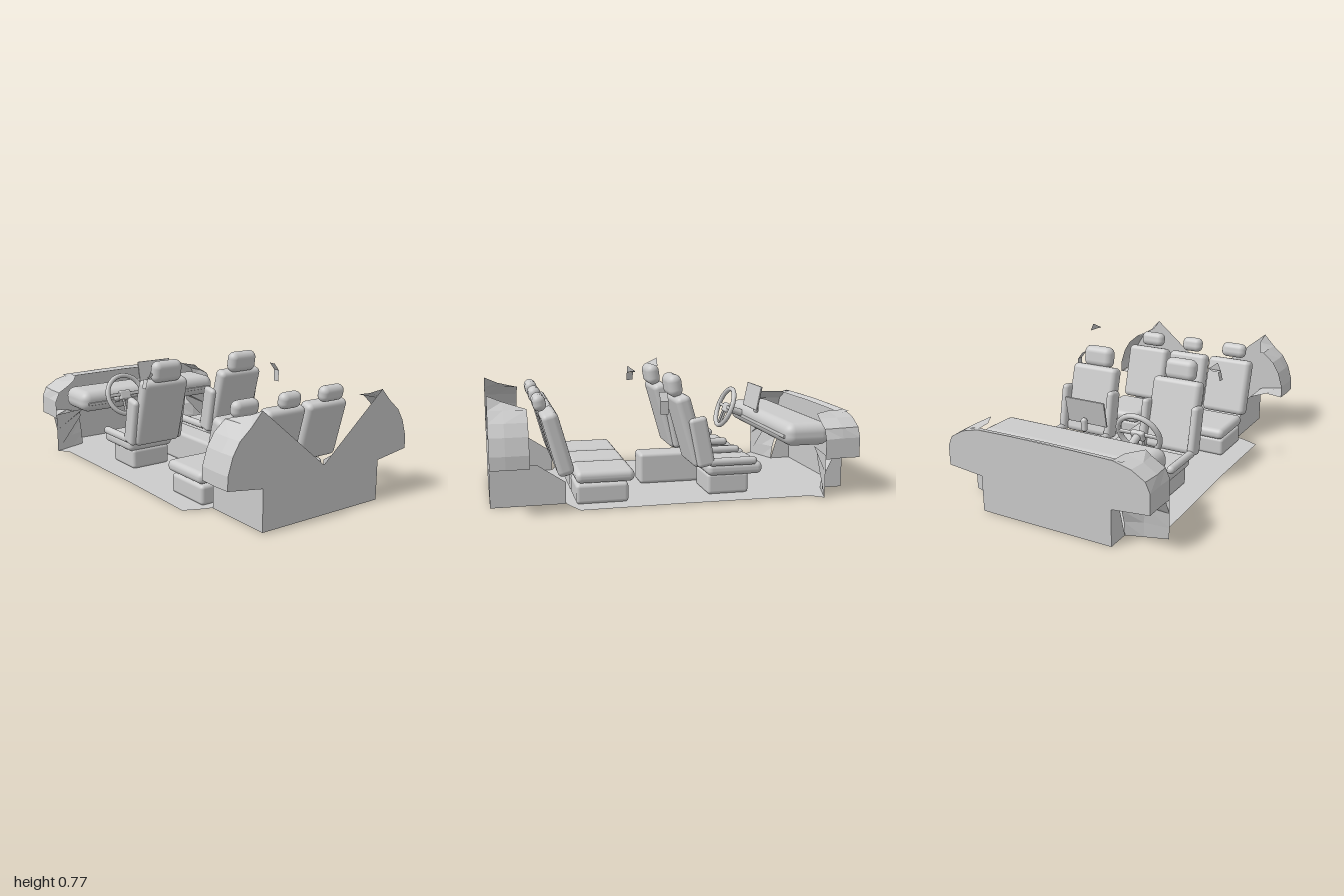
import * as THREE from 'three';
import { RoundedBoxGeometry } from 'three/addons/geometries/RoundedBoxGeometry.js';

const smooth = new THREE.MeshStandardMaterial({ color: 0xcccccc });
const flat = new THREE.MeshStandardMaterial({ color: 0xcccccc, flatShading: true, side: THREE.DoubleSide });

function add(parent, name, geometry, x = 0, y = 0, z = 0, tilt = 0, material = smooth) {
  const mesh = new THREE.Mesh(geometry, material);
  mesh.name = name;
  mesh.position.set(x, y, z);
  mesh.rotation.x = tilt;
  parent.add(mesh);
  return mesh;
}

// Padded block given by its centre and size
function pad(parent, name, [x, y, z], [w, h, d], r = 0.02, tilt = 0) {
  const radius = Math.min(r, w / 2.01, h / 2.01, d / 2.01);
  return add(parent, name, new RoundedBoxGeometry(w, h, d, 4, radius), x, y, z, tilt);
}

// Faceted sheet lofted through equally long rows of points
function sheet(parent, name, rows) {
  const pos = [];
  for (let i = 0; i < rows.length - 1; i++) {
    for (let j = 0; j < rows[i].length - 1; j++) {
      const a = rows[i][j], b = rows[i][j + 1], c = rows[i + 1][j + 1], d = rows[i + 1][j];
      pos.push(...a, ...b, ...c, ...a, ...c, ...d);
    }
  }
  const g = new THREE.BufferGeometry();
  g.setAttribute('position', new THREE.Float32BufferAttribute(pos, 3));
  g.computeVertexNormals();
  return add(parent, name, g, 0, 0, 0, 0, flat);
}

// Flat plate in the xy plane, symmetric about x = 0, from its right half
function wall(parent, name, half, z, tilt = 0) {
  const mirrored = half.slice().reverse().map(([x, y]) => [-x, y]);
  const shape = new THREE.Shape([...half, ...mirrored].map(([x, y]) => new THREE.Vector2(x, y)));
  return add(parent, name, new THREE.ShapeGeometry(shape), 0, 0, z, tilt, flat);
}

function frontSeat(parent, x) {
  const seat = new THREE.Group();
  seat.name = 'frontSeat';
  seat.position.x = x;
  parent.add(seat);
  pad(seat, 'seatBase', [0, 0.06, -0.31], [0.25, 0.12, 0.24]);
  pad(seat, 'seatCushion', [0, 0.145, -0.345], [0.3, 0.07, 0.32], 0.03);
  pad(seat, 'seatBack', [0, 0.365, -0.095], [0.3, 0.41, 0.085], 0.03, 0.28);
  pad(seat, 'headrest', [0, 0.612, -0.015], [0.19, 0.125, 0.08], 0.04, 0.15);
  for (const s of [-1, 1]) {
    pad(seat, 'cushionBolster', [s * 0.155, 0.193, -0.325], [0.045, 0.045, 0.28], 0.022);
    pad(seat, 'backBolster', [s * 0.155, 0.31, -0.145], [0.045, 0.28, 0.1], 0.022, 0.2);
  }
}

function rearSeat(parent, x, width, headWidth) {
  const seat = new THREE.Group();
  seat.name = 'rearSeat';
  seat.position.x = x;
  parent.add(seat);
  pad(seat, 'seatBase', [0, 0.055, 0.407], [width - 0.02, 0.11, 0.285]);
  pad(seat, 'seatCushion', [0, 0.147, 0.39], [width, 0.066, 0.32], 0.03);
  pad(seat, 'seatBack', [0, 0.33, 0.64], [width, 0.35, 0.09], 0.03, 0.27);
  pad(seat, 'headrest', [0, 0.545, 0.728], [headWidth, 0.09, 0.07], 0.035, 0.2);
}

function steeringWheel(parent) {
  const wheel = new THREE.Group();
  wheel.name = 'steeringWheel';
  wheel.position.set(-0.265, 0.385, -0.5);
  wheel.rotation.x = -0.38;
  parent.add(wheel);
  add(wheel, 'rim', new THREE.TorusGeometry(0.122, 0.015, 10, 40));
  pad(wheel, 'hub', [0, 0, -0.01], [0.08, 0.06, 0.03], 0.012);
  for (const s of [-1, 1]) {
    pad(wheel, 'sideSpoke', [s * 0.075, 0.005, -0.005], [0.09, 0.022, 0.014], 0.006);
    pad(wheel, 'lowerSpoke', [s * 0.018, -0.07, -0.005], [0.014, 0.1, 0.014], 0.006);
  }
  add(wheel, 'column', new THREE.CylinderGeometry(0.022, 0.022, 0.13, 16), 0, 0, -0.075, Math.PI / 2);
}

export function createModel() {
  const car = new THREE.Group();
  car.name = 'cabinInterior';

  // Floor plate, drawn as x against z and laid down
  wall(car, 'floor', [[0.39, -1], [0.39, -0.6], [0.44, -0.585], [0.54, -0.54], [0.535, 0], [0.55, 0.74],
    [0.6, 0.8], [0.39, 0.87], [0.39, 1]], 0, -Math.PI / 2).position.y = 0.002;

  // Tail panel with its V notch, and nose panel
  const tailArch = [[0.6, 0.25], [0.598, 0.32], [0.57, 0.41], [0.53, 0.475], [0.465, 0.53], [0.4, 0.6]];
  const noseArch = [[0.6, 0.22], [0.6, 0.33], [0.575, 0.385], [0.5, 0.43], [0.4, 0.455], [0.2, 0.46]];
  wall(car, 'tailPanel', [[0.39, 0], [0.39, 0.22], ...tailArch, [0.005, 0.27]], 1);
  wall(car, 'nosePanel', [[0.39, 0], [0.39, 0.2], ...noseArch], -1);
  sheet(car, 'noseLip', [[[-0.45, 0.455, -1], [0, 0.462, -1], [0.45, 0.455, -1]],
    [[-0.45, 0.445, -0.955], [0, 0.45, -0.955], [0.45, 0.445, -0.955]]]);

  for (const s of [-1, 1]) {
    // Tail wing: outer skin, underside and luggage side wall
    sheet(car, 'tailWing', [
      tailArch.map(([x, y]) => [s * x, y, 1]),
      tailArch.map(([x, y]) => [s * (x + 0.005 - (y > 0.5 ? 0.01 : 0)), y - (y > 0.55 ? 0.035 : 0), 0.92]),
      tailArch.map(([x, y]) => [s * Math.max(x, 0.44), Math.min(y, 0.53), 0.8])]);
    sheet(car, 'tailWingUnderside', [
      [[s * 0.6, 0.25, 1], [s * 0.5, 0.24, 1], [s * 0.39, 0.22, 1]],
      [[s * 0.6, 0.25, 0.8], [s * 0.5, 0.26, 0.8], [s * 0.39, 0.22, 0.8]]]);
    sheet(car, 'luggageSide', [
      [[s * 0.39, 0, 1], [s * 0.39, 0, 0.75], [s * 0.39, 0, 0.6]],
      [[s * 0.39, 0.22, 1], [s * 0.39, 0.22, 0.75], [s * 0.39, 0.12, 0.6]]]);

    // Nose wing: outer skin and the folded wheel housing below it
    sheet(car, 'noseWing', [
      noseArch.slice(0, 5).map(([x, y]) => [s * x, y, -1]),
      noseArch.slice(0, 5).map(([x, y]) => [s * Math.min(0.6, x + 0.01), y, -0.9]),
      noseArch.slice(0, 5).map(([x, y]) => [s * Math.max(x, 0.47), y - 0.005, -0.8])]);
    sheet(car, 'wheelHousing', [
      [[s * 0.6, 0, -0.8], [s * 0.6, 0.06, -0.8], [s * 0.6, 0.14, -0.8], [s * 0.6, 0.22, -0.84], [s * 0.6, 0.22, -1]],
      [[s * 0.48, 0, -0.84], [s * 0.48, 0.08, -0.84], [s * 0.49, 0.17, -0.84], [s * 0.48, 0.24, -0.9], [s * 0.48, 0.22, -1]],
      [[s * 0.39, 0, -0.87], [s * 0.39, 0.08, -0.88], [s * 0.39, 0.15, -0.9], [s * 0.39, 0.2, -0.93], [s * 0.39, 0.2, -1]]]);
    sheet(car, 'housingSide', [
      [[s * 0.39, 0, -0.87], [s * 0.39, 0, -1]],
      [[s * 0.39, 0.2, -0.93], [s * 0.39, 0.2, -1]]]);
    sheet(car, 'footwellSide', [
      [[s * 0.6, 0, -0.8], [s * 0.6, 0.14, -0.8], [s * 0.6, 0.24, -0.8]],
      [[s * 0.42, 0.2, -0.83], [s * 0.42, 0.23, -0.83], [s * 0.4, 0.25, -0.82]]]);
  }

  // Dashboard with trim, screen and central stub
  pad(car, 'dashboard', [0, 0.335, -0.745], [1, 0.13, 0.27], 0.055);
  pad(car, 'dashboardTrim', [0, 0.325, -0.63], [0.93, 0.02, 0.05], 0.005);
  pad(car, 'screen', [0.005, 0.49, -0.587], [0.24, 0.145, 0.01], 0.004, -0.2);
  pad(car, 'screenStub', [0.005, 0.425, -0.61], [0.035, 0.075, 0.03], 0.014);
  steeringWheel(car);

  // Seats and console
  pad(car, 'centreConsole', [0.003, 0.09, -0.19], [0.155, 0.18, 0.64]);
  for (const s of [-1, 1]) {
    frontSeat(car, s * 0.272);
    rearSeat(car, 0.004 + s * 0.295, 0.285, 0.16);
  }
  rearSeat(car, 0.004, 0.265, 0.135);

  // Loose pillar trim pieces
  sheet(car, 'rightPillarTrim', [
    [[-0.465, 0.6, 0.1], [-0.445, 0.645, 0.1]],
    [[-0.44, 0.605, 0.05], [-0.405, 0.615, 0.06]]]);
  sheet(car, 'rightPillarStrip', [
    [[-0.478, 0.55, 0.1], [-0.465, 0.6, 0.1]],
    [[-0.478, 0.55, 0.06], [-0.465, 0.6, 0.06]]]);
  sheet(car, 'leftPillarTrim', [
    [[0.475, 0.48, 0.1], [0.475, 0.55, 0.1], [0.44, 0.595, 0.1]],
    [[0.475, 0.48, 0.055], [0.475, 0.55, 0.055], [0.44, 0.595, 0.055]]]);
  sheet(car, 'upperPillarTrim', [
    [[0.36, 0.745, 0.15], [0.385, 0.775, 0.1]],
    [[0.405, 0.73, 0.1], [0.405, 0.73, 0.1]]]);

  return car;
}
